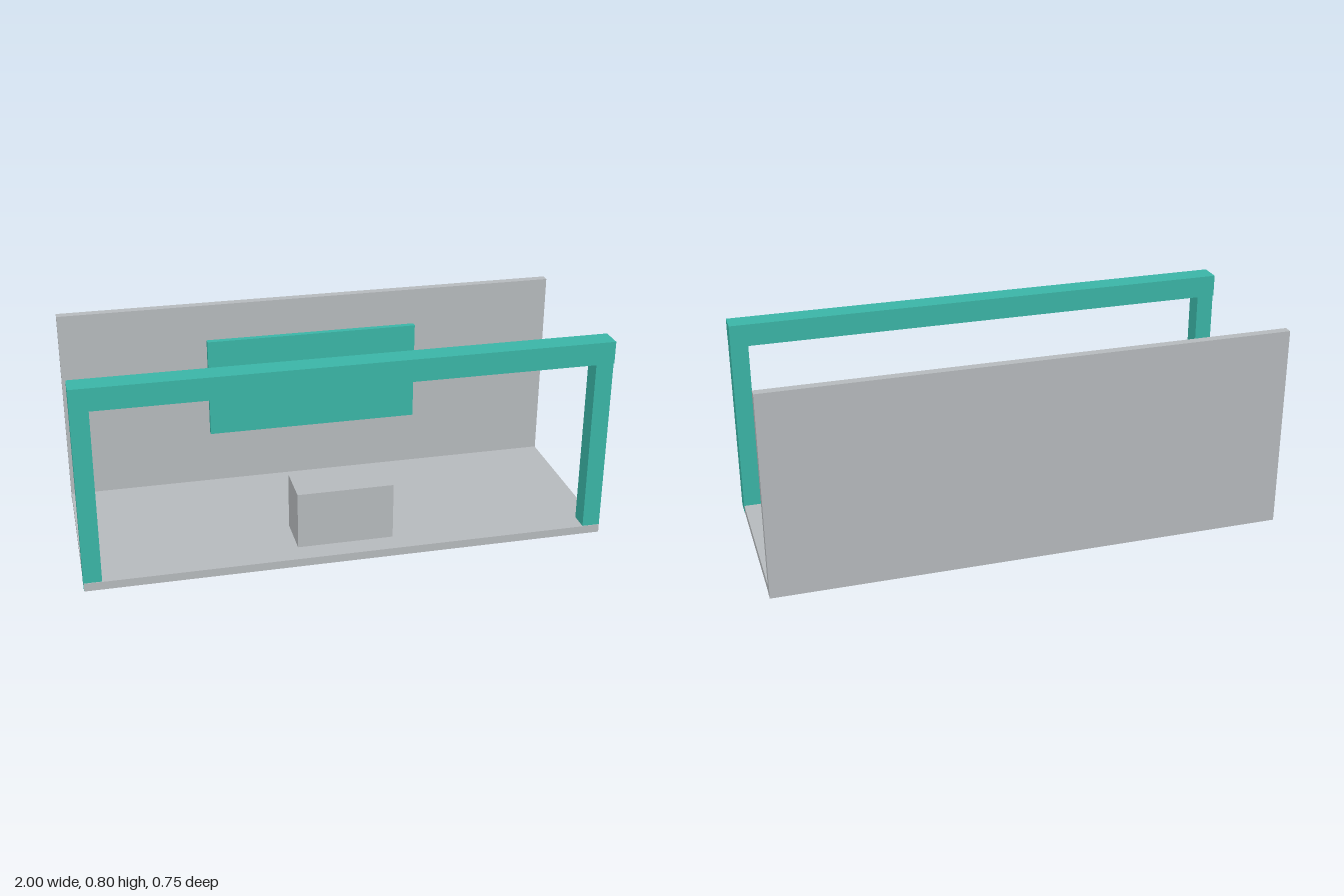
import * as THREE from 'three';

const paint = (name, color) => {
  const m = new THREE.MeshStandardMaterial({ color });
  m.name = name;
  return m;
};

export function createModel() {
  const model = new THREE.Group();
  model.name = 'displayStand';
  const grey = paint('light grey', 0xbabec1);
  const teal = paint('teal', 0x3cb9aa);
  const slate = paint('slate blue', 0x456078);

  // Box given by its [min, max] extents along each axis
  const box = (name, material, [x0, x1], [y0, y1], [z0, z1]) => {
    const mesh = new THREE.Mesh(new THREE.BoxGeometry(x1 - x0, y1 - y0, z1 - z0), material);
    mesh.position.set((x0 + x1) / 2, (y0 + y1) / 2, (z0 + z1) / 2);
    mesh.name = name;
    model.add(mesh);
  };

  // Floor slab and back wall
  box('floor', grey, [-0.999, 0.999], [0, 0.032], [-0.345, 0.374]);
  box('backWall', grey, [-1, 1], [0, 0.802], [-0.376, -0.342]);

  // Front gate: two posts standing through the floor and a crossbeam
  for (const side of [-1, 1]) {
    const x = [side * 0.932, side].sort((a, b) => a - b);
    box(side > 0 ? 'leftPost' : 'rightPost', teal, x, [0.001, 0.716], [0.297, 0.371]);
  }
  box('crossbeam', teal, [-1, 1], [0.715, 0.802], [0.29, 0.377]);

  // Screen with its backing panel, held just off the wall
  box('screen', teal, [-0.425, 0.425], [0.264, 0.664], [-0.319, -0.295]);
  box('screenBacking', slate, [-0.41, 0.41], [0.285, 0.642], [-0.332, -0.319]);

  // Counter
  box('counter', grey, [-0.186, 0.186], [0.031, 0.256], [0.112, 0.287]);

  return model;
}
